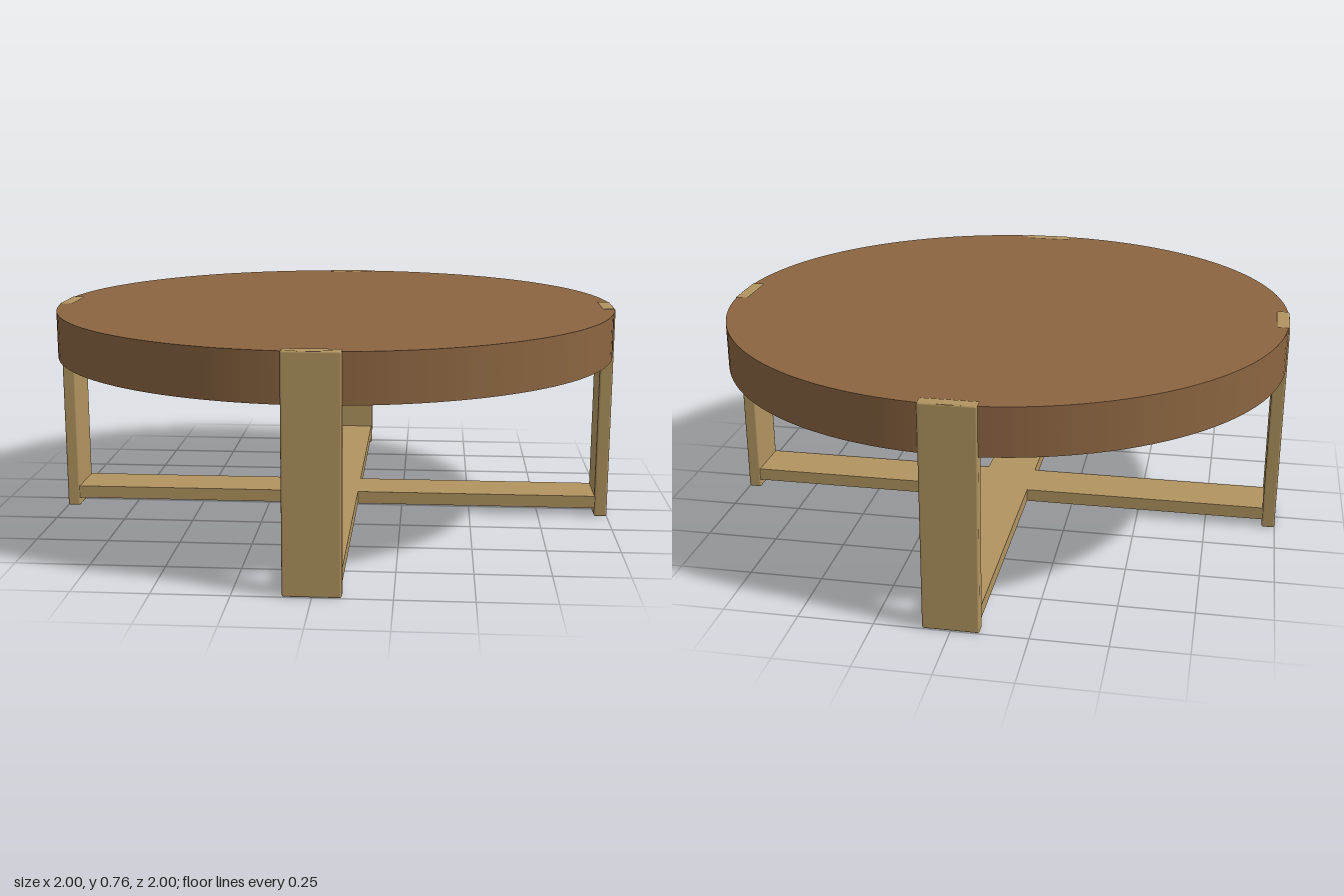
import * as THREE from 'three';
import { RoundedBoxGeometry } from 'three/addons/geometries/RoundedBoxGeometry.js';

export function createModel() {
  const group = new THREE.Group();
  group.name = 'roundTable';
  const darkWood = new THREE.MeshStandardMaterial({ color: 0x8b6541 });
  darkWood.name = 'darkWood';
  const paleWood = new THREE.MeshStandardMaterial({ color: 0xb29460 });
  paleWood.name = 'paleWood';

  const add = (name, geometry, material, x, y, z) => {
    const mesh = new THREE.Mesh(geometry, material);
    mesh.name = name;
    mesh.position.set(x, y, z);
    group.add(mesh);
    return mesh;
  };

  // Thick round top
  add('tableTop', new THREE.CylinderGeometry(0.999, 0.999, 0.162, 128), darkWood, 0, 0.682, 0);

  // Four flat legs let into the rim of the top
  const height = 0.765, width = 0.185, depth = 0.046;
  const legGeometry = new RoundedBoxGeometry(width, height, depth, 2, 0.007);
  for (let i = 0; i < 4; i++) {
    const a = i * Math.PI / 2;
    const r = 1 - depth / 2;
    const leg = add('leg', legGeometry, paleWood, Math.sin(a) * r, height / 2, Math.cos(a) * r);
    leg.rotation.y = a;
  }

  // Crossed stretcher between the legs: one plus-shaped slab
  const w = 0.09, l = 0.96;
  const plus = [];
  for (let i = 0; i < 4; i++) {
    const c = new THREE.Vector2();
    for (const [x, y] of [[w, -w], [l, -w], [l, w]]) {
      plus.push(new THREE.Vector2(x, y).rotateAround(c, i * Math.PI / 2));
    }
  }
  const cross = new THREE.ExtrudeGeometry(new THREE.Shape(plus), { depth: 0.045, bevelEnabled: false });
  cross.rotateX(-Math.PI / 2);
  add('crossStretcher', cross, paleWood, 0, 0.03, 0);

  return group;
}
